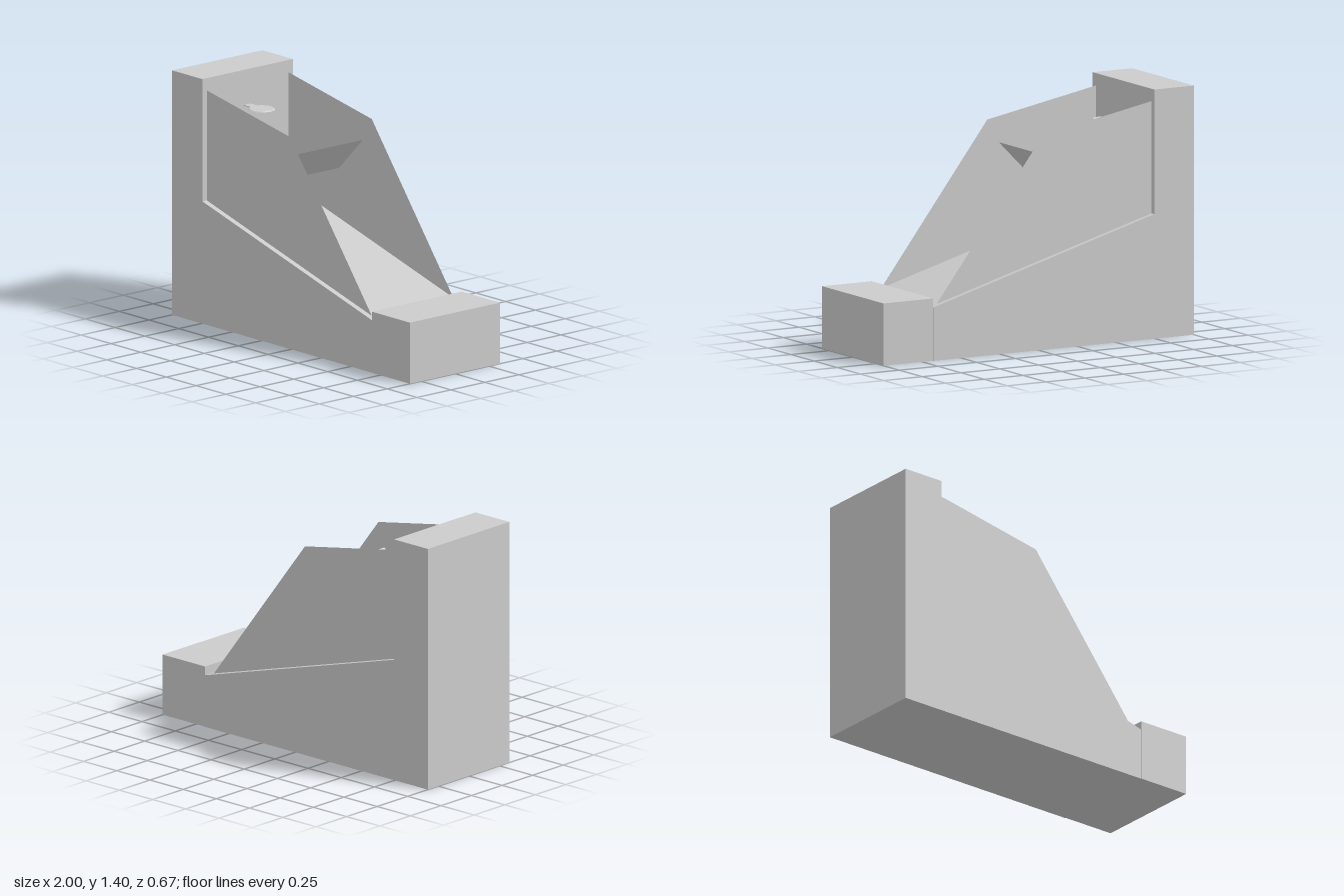
import * as THREE from 'three';

const solid = new THREE.MeshStandardMaterial({ color: 0xcccccc, flatShading: true });
const sheet = new THREE.MeshStandardMaterial({ color: 0xcccccc, flatShading: true, side: THREE.DoubleSide });

const outline = (points) => new THREE.Shape(points.map(([x, y]) => new THREE.Vector2(x, y)));

export function createModel() {
  const model = new THREE.Group();
  const add = (name, geometry, material, x = 0, y = 0, z = 0) => {
    const mesh = new THREE.Mesh(geometry, material);
    mesh.name = name;
    mesh.position.set(x, y, z);
    model.add(mesh);
    return mesh;
  };

  // Cabinet: tall rear tower and sloping ramp in one profile
  const profile = outline([[-1, 0], [0.68, 0], [0.68, 0.3], [-0.745, 0.7], [-0.745, 1.4], [-1, 1.4]]);
  add('cabinet', new THREE.ExtrudeGeometry(profile, { depth: 0.666, bevelEnabled: false }), solid, 0, 0, -0.335);

  // Low block at the foot of the ramp
  add('footBlock', new THREE.BoxGeometry(0.32, 0.35, 0.664), solid, 0.84, 0.175, 0.001);

  // Thin side panels standing on the ramp
  const panel = outline([[-0.745, 0.7], [0.64, 0.312], [-0.045, 1.2], [-0.745, 1.33]]);
  for (const [name, z] of [['leftPanel', 0.298], ['rightPanel', -0.303]]) {
    add(name, new THREE.ShapeGeometry(panel), sheet, 0, 0, z);
  }

  // Tilted sheet spanning between the panels
  const deflector = add('deflector', new THREE.PlaneGeometry(0.2 * Math.SQRT2, 0.572), sheet, -0.208, 0.97, -0.007);
  deflector.rotation.set(-Math.PI / 2, Math.PI / 4, 0, 'ZYX');
  deflector.rotation.set(-Math.PI / 2, -Math.PI / 4, 0, 'XYZ');

  // Round target with its bracket on the tower wall
  add('targetDisc', new THREE.CylinderGeometry(0.068, 0.075, 0.005, 32), solid, -0.625, 1.197, 0);
  add('targetBracket', new THREE.BoxGeometry(0.065, 0.004, 0.05), solid, -0.7175, 1.197, 0);

  return model;
}
